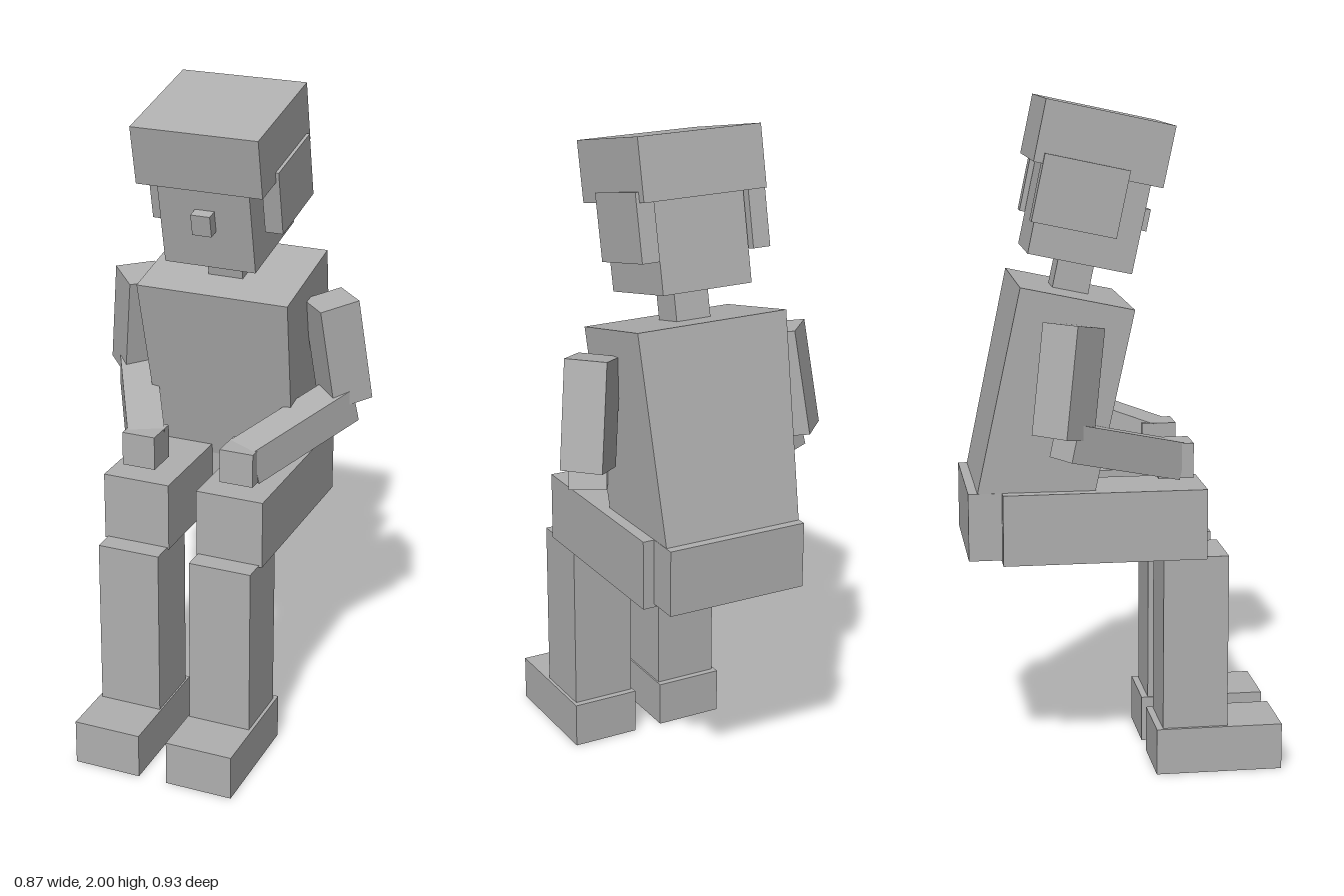
import * as THREE from 'three';

const grey = new THREE.MeshStandardMaterial({ color: 0xb0b0b0 });
grey.name = 'plain grey';

const LEAN = THREE.MathUtils.degToRad(12); // forward lean of the upper body

export function createModel() {
  const model = new THREE.Group();
  model.name = 'seatedFigure';

  // Box by size and centre, pitched about its own x after a yaw about y
  function box(name, size, pos, pitch = 0, yaw = 0) {
    const mesh = new THREE.Mesh(new THREE.BoxGeometry(...size), grey);
    mesh.name = name;
    mesh.position.set(...pos);
    mesh.rotation.order = 'YXZ';
    mesh.rotation.set(pitch, yaw, 0);
    model.add(mesh);
    return mesh;
  }

  // Same box on both sides of the body
  function pair(name, size, [x, y, z], pitch = 0, yaw = 0) {
    box('left' + name, size, [x, y, z], pitch, yaw);
    box('right' + name, size, [-x, y, z], pitch, -yaw);
  }

  // Legs
  pair('Foot', [0.21, 0.14, 0.38], [0.15, 0.07, 0.275]);
  pair('Shin', [0.195, 0.53, 0.195], [0.1475, 0.4, 0.2025]);
  pair('Thigh', [0.21, 0.21, 0.6], [0.15, 0.765, -0.067]);

  // Pelvis and leaning torso, narrower at the waist
  box('pelvis', [0.44, 0.2, 0.365], [0, 0.77, -0.2825]);
  const torso = box('torso', [0.48, 0.62, 0.337], [0, 1.132, -0.21], LEAN);
  const p = torso.geometry.attributes.position;
  for (let i = 0; i < p.count; i++) {
    if (p.getY(i) < 0) p.setX(i, p.getX(i) * 0.91);
  }
  torso.geometry.computeVertexNormals();

  // Neck, head and headgear
  box('neck', [0.11, 0.13, 0.108], [0, 1.485, -0.135], LEAN);
  box('head', [0.285, 0.3, 0.31], [0, 1.67, -0.096], LEAN);
  box('cap', [0.39, 0.18, 0.38], [0, 1.87, -0.0605], LEAN);
  box('nose', [0.06, 0.065, 0.06], [0, 1.641, 0.061], LEAN);
  pair('EarFlap', [0.055, 0.197, 0.25], [0.1775, 1.723, -0.131], LEAN);

  // Arms: elbows out and back, hands resting above the thighs
  pair('UpperArm', [0.126, 0.32, 0.126], [0.326, 1.212, -0.184], 0.166, -Math.PI / 4);
  pair('Forearm', [0.11, 0.11, 0.4], [0.251, 0.995, -0.028], 0.253, -0.5);
  pair('Hand', [0.104, 0.104, 0.104], [0.157, 0.948, 0.146]);

  return model;
}
